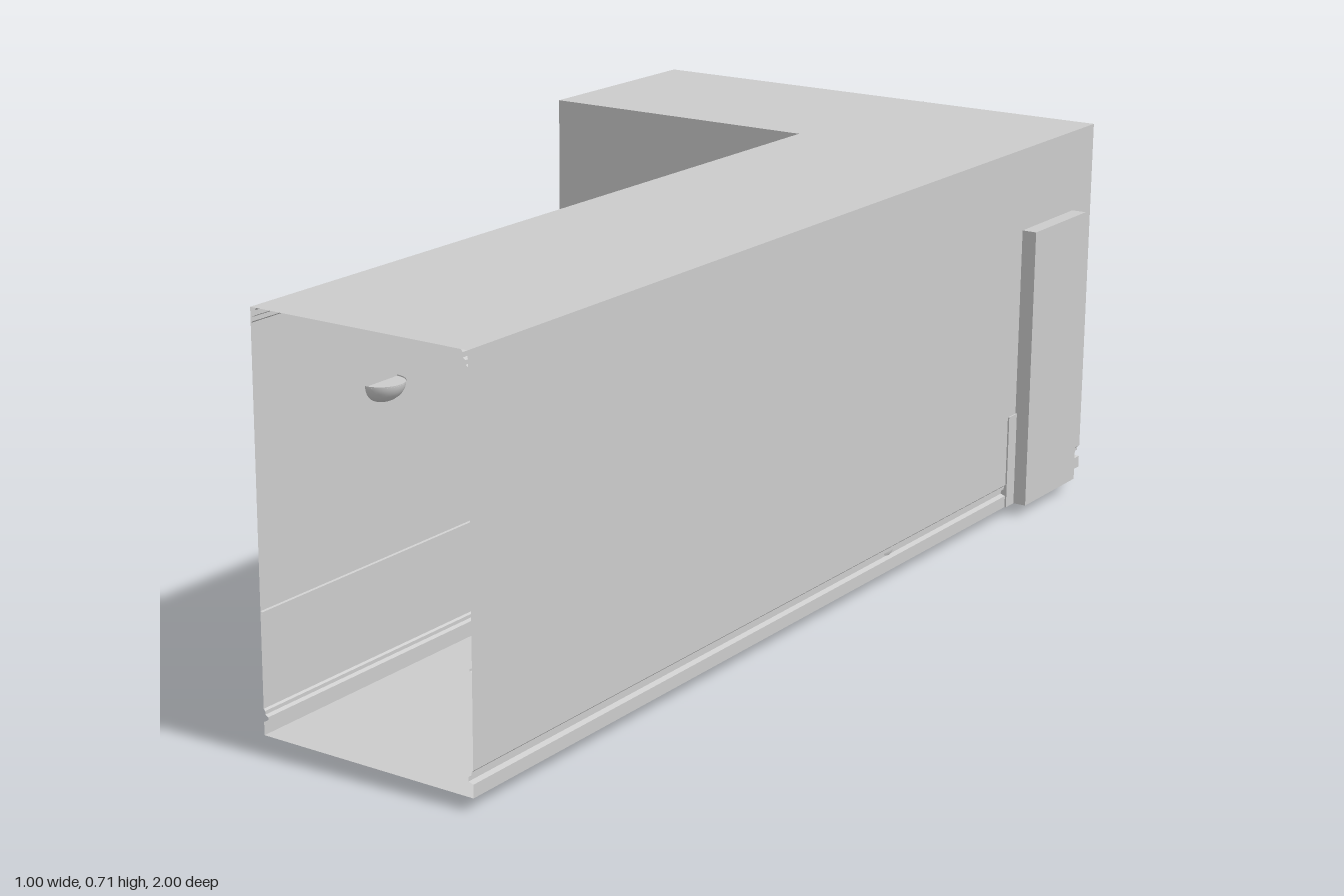
import * as THREE from 'three';

const mat = new THREE.MeshStandardMaterial({ color: 0xcccccc, side: THREE.DoubleSide });
const FLOOR = 0.022, TOP = 0.71, BASE = 0.07;

function add(group, name, geometry, x = 0, y = 0, z = 0) {
  const m = new THREE.Mesh(geometry, mat);
  m.name = name;
  m.position.set(x, y, z);
  group.add(m);
  return m;
}

// Box given by its limits on each axis
function box(group, name, x0, x1, y0, y1, z0, z1) {
  return add(group, name, new THREE.BoxGeometry(x1 - x0, y1 - y0, z1 - z0),
    (x0 + x1) / 2, (y0 + y1) / 2, (z0 + z1) / 2);
}

function quads(list) {
  const pos = [];
  for (const [a, b, c, d] of list) pos.push(...a, ...b, ...c, ...a, ...c, ...d);
  const g = new THREE.BufferGeometry();
  g.setAttribute('position', new THREE.Float32BufferAttribute(pos, 3));
  g.computeVertexNormals();
  return g;
}

// Sweep a [inward offset, height] profile along a plan path with mitred corners
function sweep(path, profile, side) {
  const normals = path.slice(1).map(([x, z], i) => {
    const dx = x - path[i][0], dz = z - path[i][1], l = Math.hypot(dx, dz);
    return [side * dz / l, -side * dx / l];
  });
  const rings = path.map(([x, z], i) => {
    const a = normals[i - 1], b = normals[i];
    const n = a && b ? [a[0] + b[0], a[1] + b[1]] : a || b;
    return profile.map(([o, y]) => [x + n[0] * o, y, z + n[1] * o]);
  });
  const list = [];
  for (let i = 0; i + 1 < rings.length; i++)
    for (let j = 0; j + 1 < profile.length; j++)
      list.push([rings[i][j], rings[i + 1][j], rings[i + 1][j + 1], rings[i][j + 1]]);
  return quads(list);
}

// Flat wall between two plan points, with one optional opening [s0, s1, y0, y1]
function wall(p, q, hole) {
  const len = Math.hypot(q[0] - p[0], q[1] - p[1]);
  const at = (s, y) => [p[0] + (q[0] - p[0]) * s / len, y, p[1] + (q[1] - p[1]) * s / len];
  const rect = (s0, s1, y0, y1) => [at(s0, y0), at(s1, y0), at(s1, y1), at(s0, y1)];
  if (!hole) return quads([rect(0, len, BASE, TOP)]);
  const [s0, s1, y0, y1] = hole;
  const list = [rect(0, s0, BASE, TOP), rect(s1, len, BASE, TOP), rect(s0, s1, y1, TOP)];
  if (y0 > BASE) list.push(rect(s0, s1, BASE, y0));
  return quads(list);
}

// Rectangular ring in the xy plane, extruded towards +z
function frame(x0, x1, y0, y1, w, depth) {
  const s = new THREE.Shape([[x0, y0], [x1, y0], [x1, y1], [x0, y1]].map(p => new THREE.Vector2(...p)));
  s.holes.push(new THREE.Path([[x0 + w, y0 + w], [x0 + w, y1 - w], [x1 - w, y1 - w], [x1 - w, y0 + w]]
    .map(p => new THREE.Vector2(...p))));
  return new THREE.ExtrudeGeometry(s, { depth, bevelEnabled: false });
}

// Door set back into a wall; out is the outward x direction
function doorway(x, out, depth, z0, z1) {
  const g = new THREE.Group();
  const xo = x + out * depth, y1 = 0.555;
  const span = (a, b) => [Math.min(a, b), Math.max(a, b)];
  add(g, 'doorRecess', quads([
    [[xo, FLOOR, z0], [xo, FLOOR, z1], [xo, y1, z1], [xo, y1, z0]],
    ...[z0, z1].map(z => [[x, FLOOR, z], [xo, FLOOR, z], [xo, y1, z], [x, y1, z]]),
    ...[FLOOR, y1].map(y => [[x, y, z0], [xo, y, z0], [xo, y, z1], [x, y, z1]]),
  ]));
  const inner = span(x, x - out * 0.008), plinth = span(x + out * 0.003, x - out * 0.01);
  for (const [a, b] of [[z0 - 0.025, z0], [z1, z1 + 0.03]]) {
    box(g, 'doorCasing', ...inner, FLOOR, 0.595, a, b);
    box(g, 'doorPlinth', ...plinth, FLOOR, 0.2, a, b);
  }
  box(g, 'doorHeader', ...inner, y1, 0.595, z0, z1);
  return g;
}

export function createModel() {
  const root = new THREE.Group();
  root.name = 'corridor';

  // Floor and ceiling share the L-shaped plan
  const plan = new THREE.Shape([[0.06, 1], [0.47, 1], [0.47, -0.945], [-0.5, -0.945], [-0.5, -0.54], [0.06, -0.54]]
    .map(([x, z]) => new THREE.Vector2(x, -z)));
  for (const [name, y] of [['floor', FLOOR], ['ceiling', TOP]])
    add(root, name, new THREE.ShapeGeometry(plan).rotateX(-Math.PI / 2), 0, y, 0);

  // Walls, both corridor ends left open
  add(root, 'longOuterWall', wall([0.47, 1], [0.47, -0.945], [1.67, 1.87, BASE, 0.555]));
  add(root, 'backWall', wall([0.47, -0.945], [-0.5, -0.945], [0.105, 0.28, 0.28, 0.56]));
  add(root, 'longInnerWall', wall([0.06, 1], [0.06, -0.54], [0.95, 1.155, BASE, 0.555]));
  add(root, 'shortInnerWall', wall([0.06, -0.54], [-0.5, -0.54]));

  // Skirting, dado rail and cornice, broken at the doors
  const skirting = [[0, FLOOR], [0, 0.044], [0.009, 0.047], [0.009, 0.054], [0.003, 0.057], [0.003, 0.063], [0, 0.066], [0, BASE]];
  const dado = [[0, 0.221], [0.004, 0.222], [0.004, 0.226], [0, 0.227]];
  const cornice = [[0, 0.685], [0.004, 0.688], [0.004, 0.695], [0.009, 0.698], [0.009, 0.706], [0.012, TOP]];
  const outer = [[0.47, 1], [0.47, -0.945], [-0.5, -0.945]];
  const inner = [[0.06, 1], [0.06, -0.54], [-0.5, -0.54]];
  const runs = [
    [[outer[0], [0.47, -0.67]], 1], [[[0.47, -0.87], outer[1], outer[2]], 1],
    [[inner[0], [0.06, 0.05]], -1], [[[0.06, -0.155], inner[1], inner[2]], -1],
  ];
  for (const [path, side] of runs) {
    add(root, 'skirting', sweep(path, skirting, side));
    add(root, 'dadoRail', sweep(path, dado, side));
  }
  add(root, 'cornice', sweep(outer, cornice, 1));
  add(root, 'cornice', sweep(inner, cornice, -1));

  // Doors
  const doors = [doorway(0.47, 1, 0.028, -0.87, -0.67), doorway(0.06, -1, 0.022, -0.155, 0.05)];
  doors.forEach(d => { d.name = 'doorway'; root.add(d); });

  // Window: stepped frame going out through the back wall
  const win = new THREE.Group();
  win.name = 'window';
  root.add(win);
  add(win, 'windowTrim', frame(0.155, 0.405, 0.275, 0.595, 0.016, 0.014), 0, 0, -0.945);
  add(win, 'windowTrimInner', frame(0.17, 0.39, 0.279, 0.58, 0.02, 0.008), 0, 0, -0.945);
  add(win, 'windowFlange', frame(0.19, 0.365, 0.28, 0.56, 0.014, 0.028), 0, 0, -0.97);
  add(win, 'windowSurround', frame(0.203, 0.355, 0.294, 0.545, 0.008, 0.035), 0, 0, -1);
  box(win, 'windowPane', 0.21, 0.348, 0.3, 0.54, -0.988, -0.984);

  // Half-bowl wall lamps
  for (const [x, s] of [[0.06, 1], [0.47, -1]]) {
    const bowl = new THREE.SphereGeometry(0.04, 20, 8, 0, Math.PI, Math.PI / 2, Math.PI / 2);
    bowl.scale(1, 0.85, 1).rotateY(s * Math.PI / 2);
    add(root, 'wallLamp', bowl, x, 0.524, 0.7);
    const lid = new THREE.CircleGeometry(0.04, 20, 0, Math.PI).rotateX(Math.PI / 2).rotateY(s * Math.PI / 2);
    add(root, 'wallLampTop', lid, x, 0.522, 0.7);
  }

  // Lumpy bundle lying on the floor
  const lump = (name, x, y, z, rx, ry, rz) => {
    const g = new THREE.SphereGeometry(1, 20, 14);
    const p = g.attributes.position;
    for (let i = 0; i < p.count; i++) {
      const k = 1 + 0.06 * Math.sin(5 * p.getX(i) + 2) * Math.cos(4 * p.getZ(i));
      p.setXYZ(i, p.getX(i) * k * rx, p.getY(i) * k * ry, p.getZ(i) * k * rz);
    }
    g.computeVertexNormals();
    add(root, name, g, x, y, z);
  };
  lump('bundle', 0.415, 0.056, -0.22, 0.048, 0.034, 0.06);
  lump('bundleBack', 0.405, 0.062, -0.31, 0.042, 0.036, 0.07);
  lump('bundleEnd', 0.38, 0.045, -0.37, 0.03, 0.028, 0.06);

  // Wedge of folds sagging below the floor
  for (let i = 0; i < 5; i++) {
    const x = 0.285 + i * 0.027, dip = [0.01, 0.003, 0, 0.004, 0.012][i];
    const side = new THREE.Shape([[0.19, 0.024], [0.19, dip], [0.24, dip], [0.4 + 0.02 * (i % 3), 0.02], [0.4, 0.026]]
      .map(p => new THREE.Vector2(...p)));
    const g = new THREE.ExtrudeGeometry(side, { depth: 0.024, bevelEnabled: false }).rotateY(Math.PI / 2);
    add(root, 'sunkenFold', g, x - 0.012, 0, 0);
  }
  return root;
}
